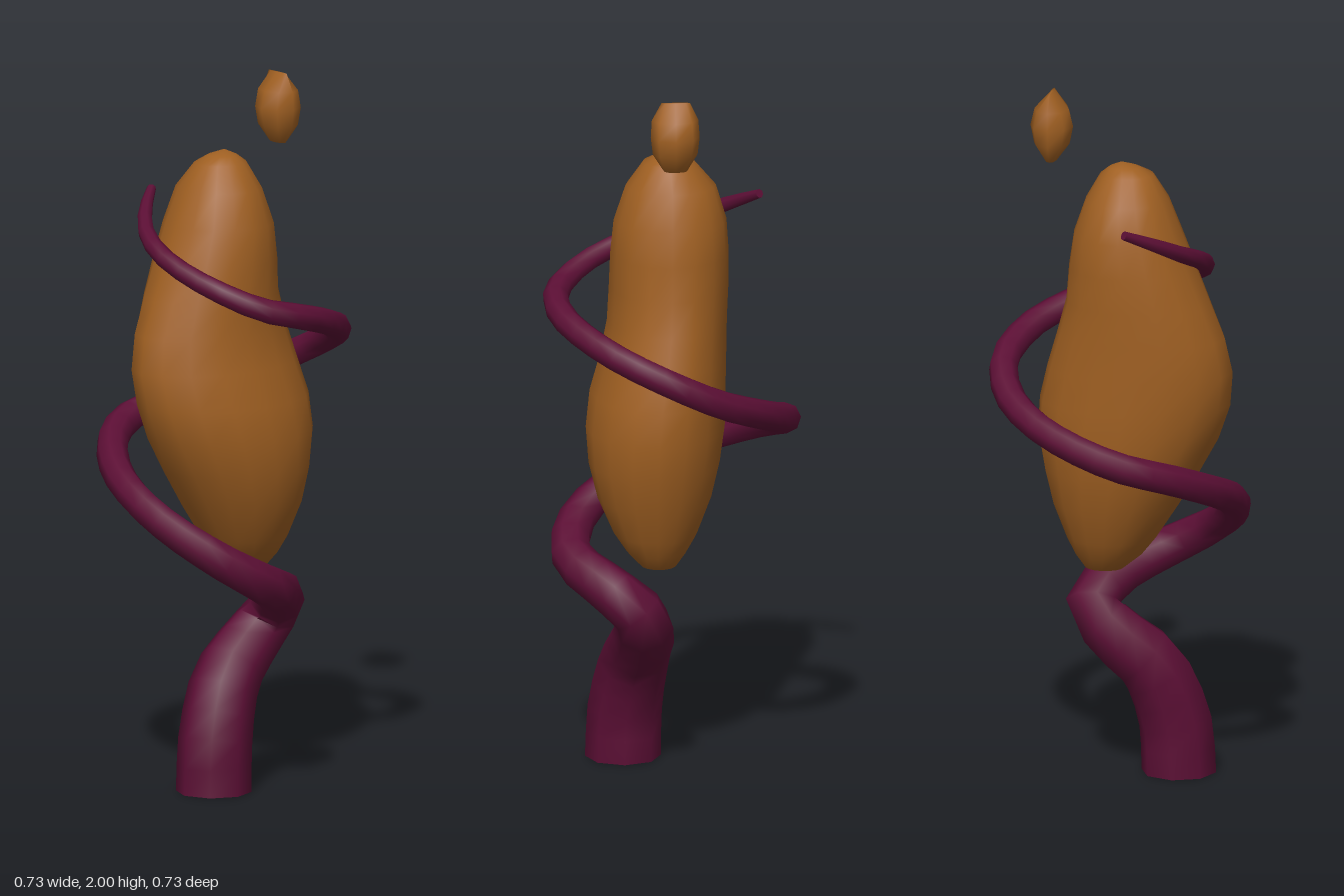
import * as THREE from 'three';
import { mergeVertices } from 'three/addons/utils/BufferGeometryUtils.js';

// Smooth skin over stacked horizontal ovals: [y, xMin, xMax, zMin, zMax], bottom to top
function loftOvals(rings, sides) {
  const pos = [], index = [];
  for (const [y, x0, x1, z0, z1] of rings) {
    for (let j = 0; j < sides; j++) {
      const a = (j / sides) * Math.PI * 2;
      pos.push((x0 + x1) / 2 + Math.cos(a) * (x1 - x0) / 2, y, (z0 + z1) / 2 + Math.sin(a) * (z1 - z0) / 2);
    }
  }
  for (let i = 0; i < rings.length - 1; i++) {
    for (let j = 0; j < sides; j++) {
      const k = (j + 1) % sides;
      const a = i * sides + j, c = i * sides + k;
      index.push(a, a + sides, c, c, a + sides, c + sides);
    }
  }
  let geo = new THREE.BufferGeometry();
  geo.setAttribute('position', new THREE.Float32BufferAttribute(pos, 3));
  geo.setIndex(index);
  geo = mergeVertices(geo, 1e-4);
  geo.computeVertexNormals();
  return geo;
}

// Tube whose radius follows the fourth number of each path point
function taperedTube(path, segments, sides) {
  const curve = new THREE.CatmullRomCurve3(path.map(p => new THREE.Vector3(p[0], p[1], p[2])));
  const geo = new THREE.TubeGeometry(curve, segments, 1, sides);
  const pos = geo.attributes.position, v = new THREE.Vector3();
  const ends = [[], []];
  for (let i = 0; i <= segments; i++) {
    const u = i / segments;
    const s = curve.getUtoTmapping(u) * (path.length - 1);
    const k = Math.min(Math.floor(s), path.length - 2);
    const r = THREE.MathUtils.lerp(path[k][3], path[k + 1][3], s - k);
    const centre = curve.getPointAt(u);
    for (let j = 0; j <= sides; j++) {
      const n = i * (sides + 1) + j;
      v.fromBufferAttribute(pos, n).sub(centre).multiplyScalar(r).add(centre);
      pos.setXYZ(n, v.x, v.y, v.z);
      if (i === 0) ends[0].push(v.clone());
      if (i === segments) ends[1].push(v.clone());
    }
  }
  return { geo, ends };
}

// Flat fan closing one end of a tube
function endCap(ring, outward) {
  const pts = [];
  for (let j = 1; j < ring.length - 2; j++) {
    const tri = [ring[0], ring[j], ring[j + 1]];
    const n = tri[1].clone().sub(tri[0]).cross(tri[2].clone().sub(tri[0]));
    if (n.dot(outward) < 0) tri.reverse();
    pts.push(...tri);
  }
  const geo = new THREE.BufferGeometry().setFromPoints(pts);
  geo.computeVertexNormals();
  return geo;
}

export function createModel() {
  const model = new THREE.Group();
  const brown = new THREE.MeshStandardMaterial({ color: 0xa06022 });
  brown.name = 'warm brown';
  const purple = new THREE.MeshStandardMaterial({ color: 0x5c0f35 });
  purple.name = 'deep purple';
  const add = (parent, name, geo, mat) => {
    const mesh = new THREE.Mesh(geo, mat);
    mesh.name = name;
    parent.add(mesh);
  };

  // Leaning pod body
  add(model, 'podBody', loftOvals([
    [0.6, 0.05, 0.05, 0.04, 0.04],
    [0.61, -0.01, 0.10, -0.01, 0.09],
    [0.65, -0.06, 0.13, -0.04, 0.13],
    [0.7, -0.10, 0.155, -0.07, 0.165],
    [0.8, -0.165, 0.195, -0.11, 0.21],
    [0.9, -0.225, 0.22, -0.135, 0.235],
    [1.0, -0.28, 0.237, -0.15, 0.242],
    [1.1, -0.315, 0.23, -0.153, 0.23],
    [1.2, -0.325, 0.205, -0.156, 0.2],
    [1.3, -0.305, 0.175, -0.158, 0.18],
    [1.4, -0.265, 0.148, -0.162, 0.175],
    [1.5, -0.225, 0.14, -0.162, 0.172],
    [1.6, -0.185, 0.125, -0.155, 0.163],
    [1.7, -0.145, 0.09, -0.125, 0.13],
    [1.77, -0.10, 0.05, -0.065, 0.08],
    [1.79, -0.06, 0.025, -0.035, 0.045],
    [1.805, -0.01, -0.01, 0.005, 0.005],
  ], 16), brown);

  // Small floating seed, ridged at both ends
  add(model, 'seed', loftOvals([
    [1.8, 0.19, 0.19, 0, 0],
    [1.8, 0.175, 0.205, -0.032, 0.032],
    [1.85, 0.138, 0.24, -0.062, 0.064],
    [1.9, 0.128, 0.25, -0.068, 0.07],
    [1.95, 0.14, 0.238, -0.064, 0.067],
    [2.0, 0.185, 0.193, -0.04, 0.04],
    [2.0, 0.189, 0.189, 0, 0],
  ], 8), brown);

  // Vine climbing around the pod: x, y, z, radius
  const vinePath = [
    [-0.15, 0, 0.13, 0.107],
    [-0.14, 0.15, 0.125, 0.105],
    [-0.08, 0.31, 0.1, 0.098],
    [0.03, 0.41, 0.08, 0.086],
    [0.092, 0.485, 0.1, 0.076],
    [0.04, 0.55, 0.19, 0.068],
    [-0.08, 0.605, 0.278, 0.06],
    [-0.22, 0.685, 0.25, 0.053],
    [-0.305, 0.77, 0.13, 0.048],
    [-0.325, 0.84, 0, 0.046],
    [-0.285, 0.9, -0.14, 0.045],
    [-0.19, 0.96, -0.265, 0.045],
    [-0.075, 1.0, -0.325, 0.044],
    [0.06, 1.04, -0.3, 0.043],
    [0.195, 1.09, -0.23, 0.043],
    [0.29, 1.145, -0.12, 0.042],
    [0.325, 1.21, 0.01, 0.041],
    [0.28, 1.27, 0.15, 0.04],
    [0.2, 1.31, 0.24, 0.039],
    [0.1, 1.345, 0.305, 0.038],
    [-0.01, 1.375, 0.328, 0.037],
    [-0.11, 1.4, 0.3, 0.035],
    [-0.19, 1.445, 0.215, 0.032],
    [-0.23, 1.49, 0.1, 0.029],
    [-0.237, 1.53, 0, 0.027],
    [-0.205, 1.57, -0.1, 0.024],
    [-0.145, 1.615, -0.18, 0.02],
    [-0.065, 1.66, -0.25, 0.013],
  ];
  const vine = new THREE.Group();
  vine.name = 'vine';
  const { geo, ends } = taperedTube(vinePath, 52, 8);
  add(vine, 'vineStem', geo, purple);
  for (const p of ends[0]) p.y = 0;
  for (let j = 0; j <= 8; j++) geo.attributes.position.setY(j, 0);
  add(vine, 'vineBase', endCap(ends[0], new THREE.Vector3(0, -1, 0)), purple);
  add(vine, 'vineTip', endCap(ends[1], new THREE.Vector3(0.08, 0.045, -0.07)), purple);
  model.add(vine);

  return model;
}
